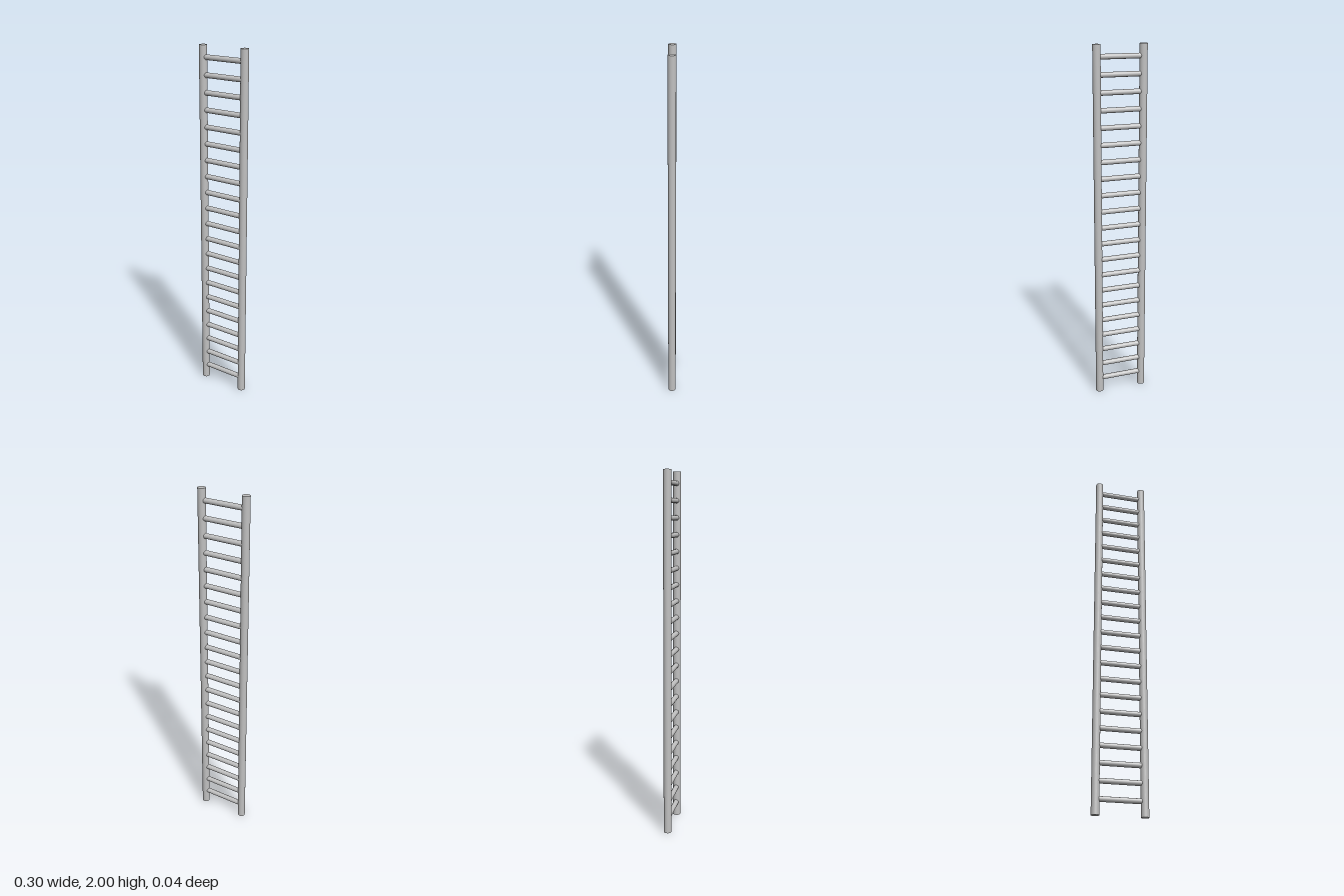
import * as THREE from 'three';

export function createModel() {
  const ladder = new THREE.Group();
  ladder.name = 'ladder';
  const metal = new THREE.MeshStandardMaterial({ color: 0xc0c0c0 });
  metal.name = 'grey metal';

  const railX = 0.13;
  const rungCount = 21;
  const firstRung = 0.082;
  const lastRung = 1.936;

  // Two upright side rails
  const railGeometry = new THREE.CylinderGeometry(0.0215, 0.0215, 2, 32);
  for (const side of [-1, 1]) {
    const rail = new THREE.Mesh(railGeometry, metal);
    rail.name = side > 0 ? 'leftRail' : 'rightRail';
    rail.position.set(side * railX, 1, 0);
    ladder.add(rail);
  }

  // Evenly spaced round rungs, with ends set inside the rails
  const rungGeometry = new THREE.CylinderGeometry(0.0143, 0.0143, railX * 2, 32);
  rungGeometry.rotateZ(Math.PI / 2);
  for (let i = 0; i < rungCount; i++) {
    const rung = new THREE.Mesh(rungGeometry, metal);
    rung.name = `rung${i + 1}`;
    rung.position.y = THREE.MathUtils.lerp(firstRung, lastRung, i / (rungCount - 1));
    ladder.add(rung);
  }

  return ladder;
}
